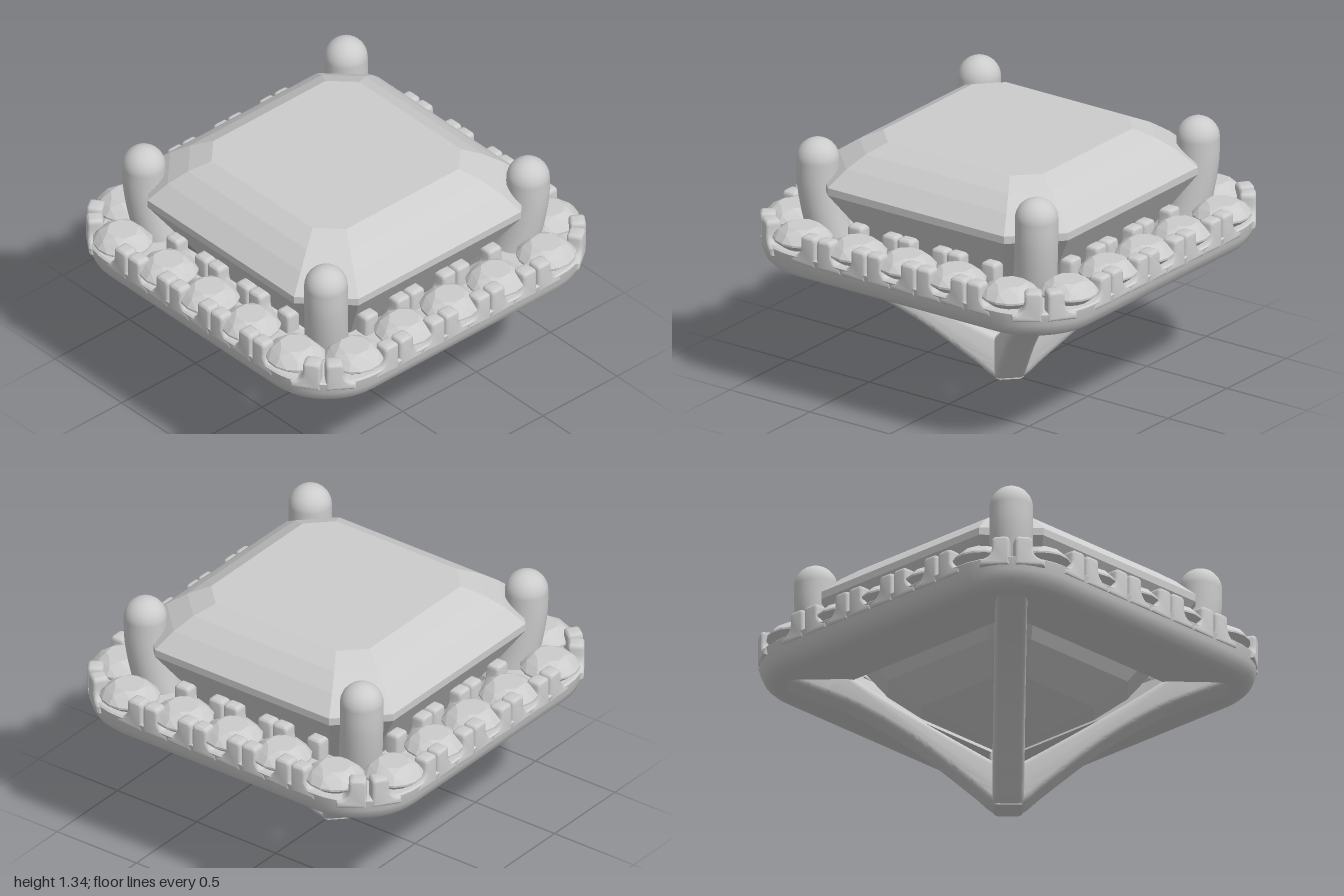
import * as THREE from 'three';
import { toCreasedNormals } from 'three/addons/utils/BufferGeometryUtils.js';
import { ConvexGeometry } from 'three/addons/geometries/ConvexGeometry.js';

const CORNER = 0.38; // corner radius of the halo outline

// Outline of a rounded square with half-size h
function roundedSquare(h, n = 10) {
  const r = Math.max(CORNER - (1 - h), 0.04), pts = [];
  for (let k = 0; k < 4; k++) {
    const mid = Math.PI / 4 + k * Math.PI / 2;
    const cx = Math.sign(Math.cos(mid)) * (h - r), cz = Math.sign(Math.sin(mid)) * (h - r);
    for (let i = 0; i <= n; i++) {
      const a = (k + i / n) * Math.PI / 2;
      pts.push([cx + r * Math.cos(a), cz + r * Math.sin(a)]);
    }
  }
  return pts;
}

// Closed section of [half-size, y] swept around the rounded square
function haloGeometry() {
  const section = [[0.6, 0.685], [0.91, 0.68], [0.945, 0.69], [0.972, 0.715], [0.99, 0.76],
    [1, 0.82], [0.99, 0.828], [0.66, 0.828], [0.65, 0.8]];
  const loops = section.map(([h, y]) => roundedSquare(h).map(([x, z]) => [x, y, z]));
  const m = loops.length, n = loops[0].length, index = [];
  for (let j = 0; j < m; j++) for (let i = 0; i < n; i++) {
    const i2 = (i + 1) % n, j2 = (j + 1) % m;
    const a = j * n + i, b = j2 * n + i, c = j * n + i2, d = j2 * n + i2;
    index.push(a, b, c, b, d, c);
  }
  const g = new THREE.BufferGeometry();
  g.setAttribute('position', new THREE.Float32BufferAttribute(loops.flat(2), 3));
  g.setIndex(index);
  return toCreasedNormals(g, 0.65);
}

// Main step-cut gem: octagonal levels of [half-size, corner cut, y]
function centreGemGeometry() {
  const levels = [[0.5, 0.12, 1.33], [0.6, 0.155, 1.28], [0.69, 0.19, 1.215], [0.78, 0.23, 1.13],
    [0.78, 0.23, 1.09], [0.5, 0.15, 0.67], [0.36, 0.108, 0.54]];
  const pts = [new THREE.Vector3(0, 0.33, 0)];
  for (const [h, cut, y] of levels)
    for (const sx of [-1, 1]) for (const sz of [-1, 1])
      pts.push(new THREE.Vector3(sx * h, y, sz * (h - cut)), new THREE.Vector3(sx * (h - cut), y, sz * h));
  return new ConvexGeometry(pts);
}

// Small round faceted gem
function smallGemGeometry() {
  const pts = [new THREE.Vector3(0, -0.13, 0)];
  const level = (n, r, y, turn) => {
    for (let i = 0; i < n; i++) {
      const a = (i + turn) * 2 * Math.PI / n;
      pts.push(new THREE.Vector3(r * Math.cos(a), y, r * Math.sin(a)));
    }
  };
  level(8, 0.08, 0.06, 0.5);
  level(8, 0.122, 0.036, 0);
  level(16, 0.152, 0, 0);
  level(16, 0.152, -0.01, 0);
  return new ConvexGeometry(pts);
}

// Bead tooth with a scalloped foot on the gem side; sign points away from the gem
function toothGeometry(sign) {
  const s = new THREE.Shape();
  s.moveTo(sign * 0.044, 0.78);
  s.lineTo(sign * 0.044, 0.915);
  s.quadraticCurveTo(sign * 0.044, 0.94, sign * 0.02, 0.94);
  s.lineTo(sign * -0.022, 0.94);
  s.quadraticCurveTo(sign * -0.046, 0.94, sign * -0.046, 0.915);
  s.lineTo(sign * -0.046, 0.88);
  s.quadraticCurveTo(sign * -0.05, 0.825, sign * -0.11, 0.818);
  s.lineTo(sign * -0.11, 0.78);
  const g = new THREE.ExtrudeGeometry(s, { depth: 0.05, bevelEnabled: true, bevelSize: 0.016,
    bevelOffset: -0.016, bevelThickness: 0.016, bevelSegments: 3, curveSegments: 5 });
  g.translate(0, 0, -0.066);
  return toCreasedNormals(g, 0.8);
}

// Curved under-arm, drawn in its diagonal plane (distance from axis, height)
function armGeometry() {
  const q = Math.SQRT2, s = new THREE.Shape();
  s.moveTo(-0.07, 0);
  s.lineTo(0.06, 0);
  s.splineThru([[0.075, 0.035], [0.14, 0.12], [0.34, 0.355], [0.54, 0.535], [0.72, 0.645], [0.82, 0.7]]
    .map(([x, y]) => new THREE.Vector2(x * q, y)));
  s.lineTo(0.82 * q, 0.73);
  s.lineTo(0.58 * q, 0.73);
  s.quadraticCurveTo(0.42 * q, 0.555, 0.06 * q, 0.25);
  s.lineTo(-0.07, 0.25);
  const g = new THREE.ExtrudeGeometry(s, { depth: 0.1, bevelEnabled: true, bevelSize: 0.03,
    bevelOffset: -0.03, bevelThickness: 0.03, bevelSegments: 4, curveSegments: 20 });
  g.translate(0, 0, -0.05);
  return toCreasedNormals(g, 0.7);
}

// Moves a mesh onto the +z side of the halo: s along the side, then arc angle a round the corner
function placeOnSide(mesh, s, a, inset, y = 0) {
  const sign = Math.sign(s) || 1, r = CORNER - inset;
  if (a === 0) mesh.position.set(s, y, 1 - inset);
  else mesh.position.set(sign * (1 - CORNER + r * Math.sin(a)), y, 1 - CORNER + r * Math.cos(a));
  mesh.rotation.y = sign * a;
}

export function createModel() {
  const model = new THREE.Group();
  const silver = new THREE.MeshStandardMaterial({ color: 0xcccccc });
  silver.name = 'silver grey';
  const add = (parent, name, geometry) => {
    const mesh = new THREE.Mesh(geometry, silver);
    mesh.name = name;
    parent.add(mesh);
    return mesh;
  };

  add(model, 'haloFrame', haloGeometry());
  add(model, 'centreGem', centreGemGeometry());

  // Halo gems and teeth, one group for each side
  const gem = smallGemGeometry();
  const teeth = { '-1': toothGeometry(-1), '1': toothGeometry(1) };
  for (let k = 0; k < 4; k++) {
    const side = new THREE.Group();
    side.name = 'haloSide';
    side.rotation.y = k * Math.PI / 2;
    for (const x of [-0.31, 0, 0.31]) {
      placeOnSide(add(side, 'haloGem', gem), x, 0, 0.145, 0.875);
      for (const e of [-1, 1]) {
        placeOnSide(add(side, 'outerTooth', teeth[e]), x + e * 0.108, 0, 0);
        placeOnSide(add(side, 'innerTooth', teeth[e]), x + e * 0.108, 0, 0.26);
      }
    }
    for (const e of [-1, 1]) {
      placeOnSide(add(side, 'cornerGem', gem), e, 0.12, 0.14, 0.875);
      placeOnSide(add(side, 'outerTooth', teeth[-e]), e * 0.515, 0, 0);
      placeOnSide(add(side, 'cornerTooth', teeth[e]), e, 0.63, 0);
    }
    model.add(side);
  }

  // Prongs and under-arms at the four corners
  const path = new THREE.CatmullRomCurve3([[0.615, 0.72], [0.645, 0.85], [0.667, 0.98], [0.682, 1.12], [0.684, 1.23]]
    .map(([d, y]) => new THREE.Vector3(d * Math.SQRT2, y, 0)));
  const prong = new THREE.TubeGeometry(path, 16, 0.11, 24);
  const tip = new THREE.SphereGeometry(0.11, 24, 16);
  const arm = armGeometry();
  for (let k = 0; k < 4; k++) {
    const corner = new THREE.Group();
    corner.name = 'cornerSupport';
    corner.rotation.y = Math.PI / 4 + k * Math.PI / 2;
    add(corner, 'prong', prong);
    add(corner, 'prongTip', tip).position.set(0.684 * Math.SQRT2, 1.23, 0);
    add(corner, 'underArm', arm);
    model.add(corner);
  }
  return model;
}
